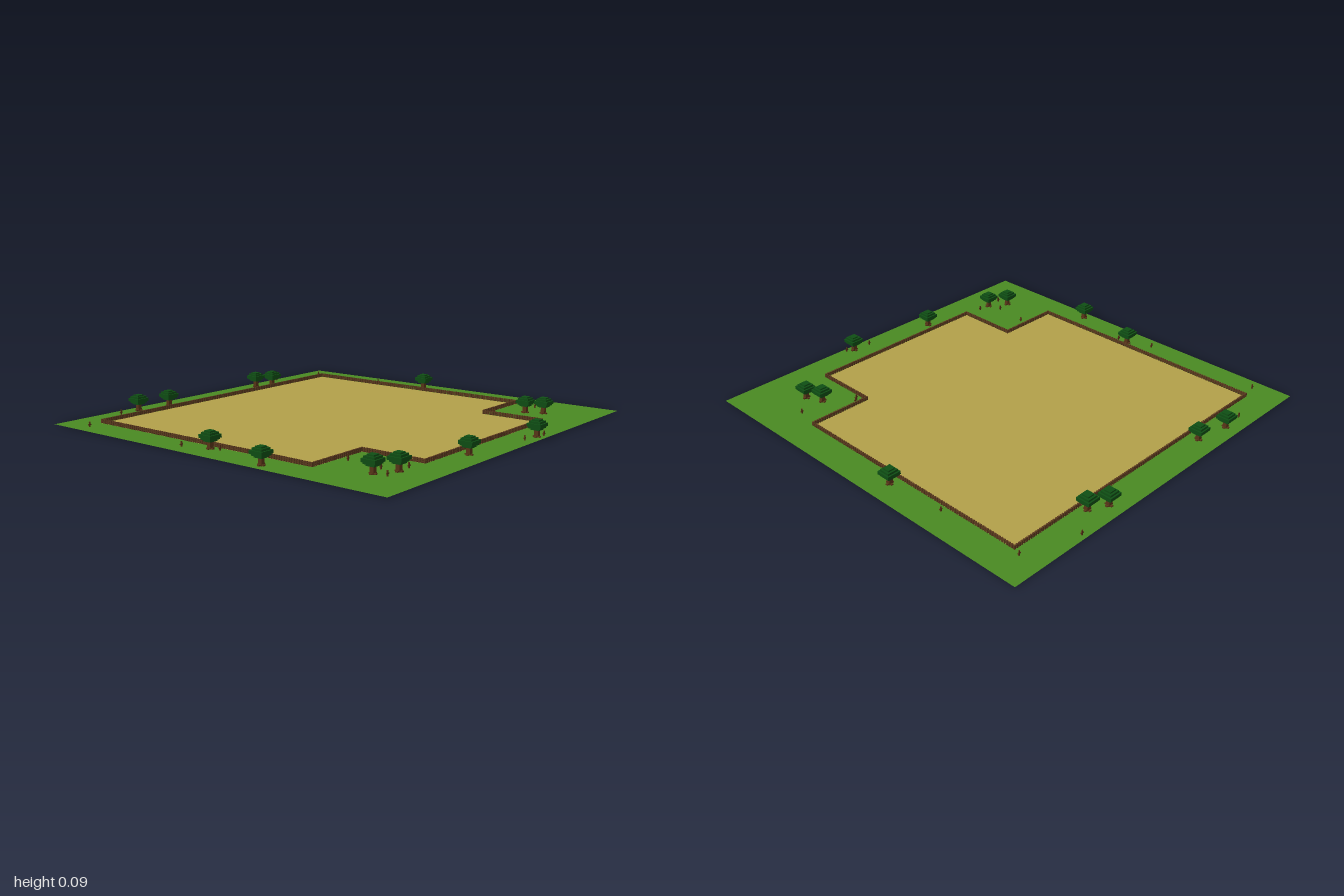
import * as THREE from 'three';
import { mergeGeometries } from 'three/addons/utils/BufferGeometryUtils.js';

const mat = (name, color, side = THREE.FrontSide) => {
  const m = new THREE.MeshStandardMaterial({ color, side });
  m.name = name;
  return m;
};

// Box standing on y0, centred on x and z
const box = (w, h, d, x, y0, z) => new THREE.BoxGeometry(w, h, d).translate(x, y0 + h / 2, z);

// Yard outline as [x, z]
const YARD = [[-0.84, -0.84], [0.835, -0.84], [0.835, 0.5], [0.505, 0.5],
  [0.505, 0.83], [-0.505, 0.83], [-0.505, 0.5], [-0.84, 0.5]];

const TREES = [[-0.53, -0.93], [-0.35, -0.9], [0.34, -0.925], [0.43, -0.88], [0.89, -0.13],
  [-0.88, -0.05], [-0.95, 0.32], [-0.77, 0.76], [-0.675, 0.82], [-0.265, 0.895],
  [0.215, 0.96], [0.665, 0.65], [0.7, 0.735]];

const TWIGS = [[-0.93, -0.82], [-0.65, -0.925], [0.575, -0.975], [0.85, -0.88], [0.87, -0.44],
  [-0.93, -0.18], [-0.875, 0.005], [-0.665, 0.55], [-0.69, 0.74], [-0.76, 0.825], [-0.605, 0.82],
  [0.535, 0.545], [0.555, 0.525], [0.805, 0.63], [0.12, 0.95], [0.255, 0.975]];

const GROUND = 0.003;

export function createModel() {
  const group = new THREE.Group();
  const grass = mat('grass green', 0x4a8a22, THREE.DoubleSide);
  const sand = mat('sand', 0xb3a04a, THREE.DoubleSide);
  const wood = mat('fence brown', 0x5c3a1e);
  const bark = mat('bark brown', 0x5a3618);
  const leaf = mat('leaf green', 0x0f4f14);
  const add = (name, geo, material, parent = group) => {
    const mesh = new THREE.Mesh(geo, material);
    mesh.name = name;
    parent.add(mesh);
    return mesh;
  };

  // Flat lawn with the yard cut out, and the yard itself
  const outline = YARD.map(([x, z]) => new THREE.Vector2(x, -z));
  const lawn = new THREE.Shape([[-1, -1], [1, -1], [1, 1], [-1, 1]].map(p => new THREE.Vector2(...p)));
  lawn.holes.push(new THREE.Path(outline));
  const flat = shape => new THREE.ShapeGeometry(shape).rotateX(-Math.PI / 2).translate(0, GROUND, 0);
  add('lawn', flat(lawn), grass);
  add('yard', flat(new THREE.Shape(outline)), sand);

  // Picket fence with two rails along every edge of the yard
  const pickets = [], rails = [];
  YARD.forEach(([x0, z0], i) => {
    const [x1, z1] = YARD[(i + 1) % YARD.length];
    const length = Math.hypot(x1 - x0, z1 - z0);
    const alongX = z0 === z1;
    const n = Math.round(length / 0.014);
    for (let k = 0; k < n; k++) {
      const t = k / n;
      pickets.push(box(0.008, 0.02, 0.008, x0 + (x1 - x0) * t, 0.004, z0 + (z1 - z0) * t));
    }
    for (const y of [0.009, 0.017]) {
      rails.push(box(alongX ? length : 0.005, 0.004, alongX ? 0.005 : length, (x0 + x1) / 2, y, (z0 + z1) / 2));
    }
  });
  add('fencePickets', mergeGeometries(pickets), wood);
  add('fenceRails', mergeGeometries(rails), wood);

  // Blocky trees: flared trunk and stepped crown
  const trunk = mergeGeometries([
    box(0.02, 0.05, 0.02, 0, 0.002, 0),
    box(0.038, 0.007, 0.012, 0, 0.002, 0),
    box(0.012, 0.007, 0.038, 0, 0.002, 0),
  ]);
  const crown = mergeGeometries([
    box(0.044, 0.01, 0.044, 0, 0.038, 0),
    box(0.06, 0.01, 0.06, 0, 0.046, 0),
    box(0.072, 0.016, 0.072, 0, 0.054, 0),
    box(0.056, 0.01, 0.056, 0, 0.07, 0),
    box(0.036, 0.008, 0.036, 0, 0.079, 0),
  ]);
  for (const [x, z] of TREES) {
    const tree = new THREE.Group();
    tree.name = 'tree';
    tree.position.set(x, 0, z);
    add('trunk', trunk, bark, tree);
    add('crown', crown, leaf, tree);
    group.add(tree);
  }

  // Small dry saplings scattered over the lawn
  const twig = mergeGeometries([
    box(0.006, 0.028, 0.005, 0, 0, 0),
    box(0.016, 0.005, 0.005, 0, 0.012, 0),
  ]);
  for (const [x, z] of TWIGS) add('sapling', twig, bark).position.set(x, 0, z);

  return group;
}
